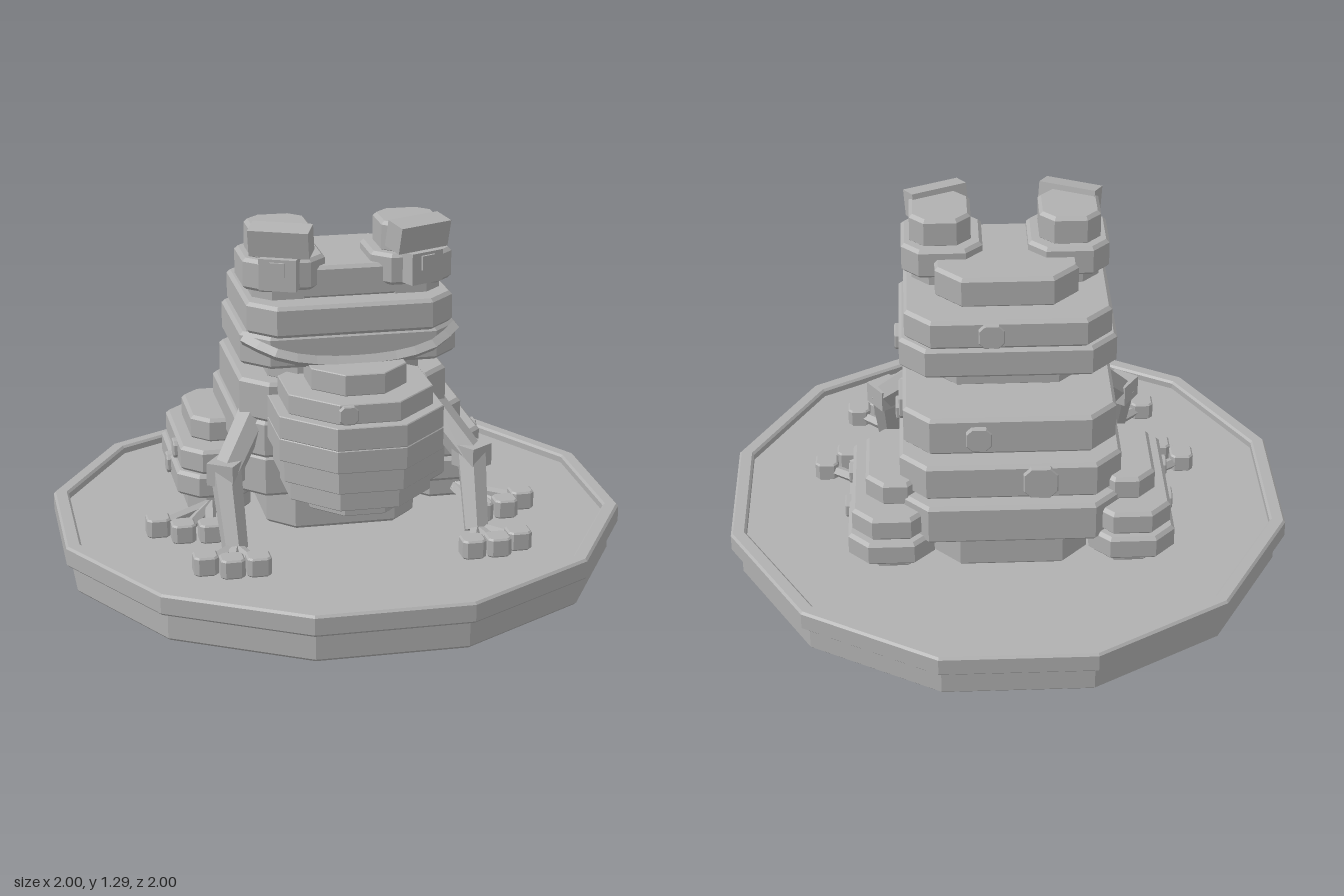
import * as THREE from 'three';

const grey = new THREE.MeshStandardMaterial({ color: 0xb0b0b0, flatShading: true });
grey.name = 'stone grey';

function add(parent, name, geometry) {
  const mesh = new THREE.Mesh(geometry, grey);
  mesh.name = name;
  parent.add(mesh);
  return mesh;
}

// Outline of a rectangle with cut corners
function cutRect(w, d, c) {
  const x = w / 2, y = d / 2;
  return [[x, c - y], [x, y - c], [x - c, y], [c - x, y], [-x, y - c], [-x, c - y], [c - x, -y], [x - c, -y]]
    .map(([a, b]) => new THREE.Vector2(a, b));
}

// Regular outline with flats facing the axes, sized by its apothem
function polygon(n, apothem) {
  const r = apothem / Math.cos(Math.PI / n);
  return Array.from({ length: n }, (_, i) => {
    const a = (i + 0.5) * 2 * Math.PI / n;
    return new THREE.Vector2(r * Math.cos(a), r * Math.sin(a));
  });
}

// Upright prism with a small bevel, its base at y = 0
function prism(points, h, bevel, hole) {
  const shape = new THREE.Shape(points);
  if (hole) shape.holes.push(new THREE.Path(hole));
  const g = new THREE.ExtrudeGeometry(shape, {
    depth: h - 2 * bevel, bevelEnabled: bevel > 0, bevelSize: bevel,
    bevelThickness: bevel, bevelOffset: -bevel, bevelSegments: 1,
  });
  return g.translate(0, 0, bevel).rotateX(-Math.PI / 2);
}

// Stone layer given by its limits in x, z and y
function slab(parent, name, [x0, x1], [z0, z1], [y0, y1], cut = 0.09, bevel = 0.012) {
  const m = add(parent, name, prism(cutRect(x1 - x0, z1 - z0, cut), y1 - y0, bevel));
  m.position.set((x0 + x1) / 2, y0, (z0 + z1) / 2);
  return m;
}

// Straight limb between two points
function limb(parent, name, from, to, r0, r1, sides = 6) {
  const a = new THREE.Vector3(...from), b = new THREE.Vector3(...to);
  const m = add(parent, name, new THREE.CylinderGeometry(r1, r0, a.distanceTo(b), sides));
  m.position.copy(a).lerp(b, 0.5);
  m.quaternion.setFromUnitVectors(new THREE.Vector3(0, 1, 0), b.sub(a).normalize());
  return m;
}

// Flat bump on a wall; yaw turns it to face outwards
function wart(parent, x, y, z, size, yaw) {
  const g = prism(cutRect(size, size, size * 0.22), 0.03, 0.004).rotateX(Math.PI / 2).translate(0, 0, -0.015);
  const m = add(parent, 'wart', g);
  m.position.set(x, y, z);
  m.rotation.y = yaw;
}

// Splayed toes with square pads
function foot(parent, name, root, pads) {
  const g = new THREE.Group();
  g.name = name;
  parent.add(g);
  for (const [x, z] of pads) {
    limb(g, 'toe', [root[0], 0.185, root[1]], [x, 0.18, z], 0.024, 0.02, 5);
    slab(g, 'toePad', [x - 0.042, x + 0.042], [z - 0.042, z + 0.042], [0.15, 0.218], 0.015, 0.006);
  }
}

function createModel() {
  const model = new THREE.Group();
  model.name = 'frogStatue';

  // Twelve-sided plinth with a raised rim
  add(model, 'plinth', prism(polygon(12, 0.965), 0.11, 0.01));
  add(model, 'plinthFloor', prism(polygon(12, 0.96), 0.05, 0)).position.y = 0.1;
  add(model, 'plinthRim', prism(polygon(12, 1), 0.075, 0.008, polygon(12, 0.945))).position.y = 0.105;

  // Body and head layers: half width, z range, y range
  const layers = [
    ['bellyBase', 0.27, [-0.45, 0.2], [0.15, 0.3]],
    ['bodyLower', 0.38, [-0.51, 0.22], [0.29, 0.44]],
    ['bodyMiddle', 0.385, [-0.46, 0.235], [0.44, 0.575]],
    ['bodyUpper', 0.37, [-0.385, 0.25], [0.575, 0.72]],
    ['neck', 0.27, [-0.155, 0.25], [0.71, 0.81]],
    ['jaw', 0.38, [-0.245, 0.34], [0.8, 0.915]],
    ['head', 0.36, [-0.245, 0.365], [0.915, 1.025]],
    ['brow', 0.25, [-0.145, 0.27], [1.02, 1.135]],
  ];
  for (const [name, w, z, y] of layers) slab(model, name, [-w, w], z, y);

  // Mouth ridge wrapped around the jaw
  const lip = new THREE.CatmullRomCurve3([
    [-0.37, 0.895, 0.27], [-0.27, 0.86, 0.36], [-0.13, 0.832, 0.375], [0.13, 0.832, 0.375],
    [0.27, 0.86, 0.36], [0.37, 0.895, 0.27],
  ].map(p => new THREE.Vector3(...p)));
  add(model, 'mouth', new THREE.TubeGeometry(lip, 12, 0.022, 4, false));

  // Swollen throat built from octagonal rings
  const throat = new THREE.Group();
  throat.name = 'throat';
  throat.position.z = 0.355;
  model.add(throat);
  const rings = [[0.32, 0.17], [0.37, 0.245], [0.44, 0.268], [0.52, 0.285], [0.6, 0.285], [0.68, 0.25], [0.75, 0.165], [0.825]];
  for (let i = 0; i < rings.length - 1; i++) {
    const h = rings[i + 1][0] - rings[i][0];
    add(throat, 'throatRing', prism(polygon(8, rings[i][1]), h, 0.003)).position.y = rings[i][0];
  }
  wart(throat, -0.075, 0.715, 0.25, 0.065, 0);

  // Paired parts
  for (const s of [1, -1]) {
    const side = new THREE.Group();
    side.name = s > 0 ? 'leftSide' : 'rightSide';
    model.add(side);
    const range = (a, b) => (s > 0 ? [a, b] : [-b, -a]);

    // Eye with a hooded lid turned outwards
    slab(side, 'eyeSocket', range(0.08, 0.365), [0, 0.295], [1.06, 1.17], 0.06);
    slab(side, 'eyeStem', range(0.1, 0.33), [0.02, 0.27], [1.01, 1.08], 0.06);
    slab(side, 'eyeTop', range(0.12, 0.335), [0.035, 0.27], [1.16, 1.27], 0.05);
    const eye = new THREE.Group();
    eye.name = 'eye';
    eye.position.set(s * 0.23, 1.12, 0.25);
    eye.rotation.y = s * 0.42;
    side.add(eye);
    const lid = add(eye, 'eyelid', new THREE.BoxGeometry(0.21, 0.095, 0.08));
    lid.position.set(0, 0.115, 0.02);
    lid.rotation.x = 0.2;
    add(eye, 'eyeball', new THREE.BoxGeometry(0.13, 0.11, 0.08)).position.set(0, 0.005, 0.035);
    add(eye, 'pupil', new THREE.BoxGeometry(0.055, 0.05, 0.016)).position.set(0, 0.025, 0.076);

    // Folded hind leg
    slab(side, 'hindLegBase', range(0.3, 0.53), [-0.45, 0], [0.15, 0.235], 0.06);
    slab(side, 'thighLower', range(0.27, 0.57), [-0.54, 0.035], [0.225, 0.315], 0.07);
    slab(side, 'thighUpper', range(0.28, 0.555), [-0.52, 0.03], [0.315, 0.405], 0.07);
    slab(side, 'knee', range(0.3, 0.505), [-0.43, -0.065], [0.4, 0.49], 0.06);
    foot(side, 'hindFoot', [s * 0.46, 0], [[s * 0.665, 0.145], [s * 0.585, 0.215], [s * 0.475, 0.235]]
      .map(([x, z], i) => (i === 2 ? [s * 0.655 - s * 0.06 + s * 0.02, 0.22] : [x, z])).slice(0, 2).concat([[s * 0.49, 0.23]]));
    wart(side, s * 0.555, 0.36, -0.155, 0.065, s * Math.PI / 2);
    wart(side, s * 0.57, 0.275, -0.24, 0.07, s * Math.PI / 2);

    // Front arm
    limb(side, 'upperArm', [s * 0.3, 0.6, 0.12], [s * 0.44, 0.41, 0.28], 0.058, 0.052);
    const elbow = add(side, 'elbow', new THREE.BoxGeometry(0.1, 0.08, 0.1));
    elbow.position.set(s * 0.44, 0.42, 0.28);
    elbow.rotation.y = s * 0.6;
    limb(side, 'forearm', [s * 0.44, 0.42, 0.28], [s * 0.43, 0.18, 0.4], 0.055, 0.046);
    foot(side, 'frontFoot', [s * 0.43, 0.4], [[s * 0.55, 0.51], [s * 0.465, 0.552], [s * 0.375, 0.552]]);
  }

  // Scattered warts on the left flank and the back
  for (const [x, y, z, size] of [[0.38, 0.855, -0.04, 0.08], [0.37, 0.645, -0.12, 0.12], [0.385, 0.51, 0.035, 0.075]])
    wart(model, x, y, z, size, Math.PI / 2);
  for (const [x, y, z, size] of [[-0.1, 0.51, -0.46, 0.12], [0.11, 0.645, -0.388, 0.09], [0.06, 0.97, -0.245, 0.09]])
    wart(model, x, y, z, size, Math.PI);

  return model;
}

export { createModel };
